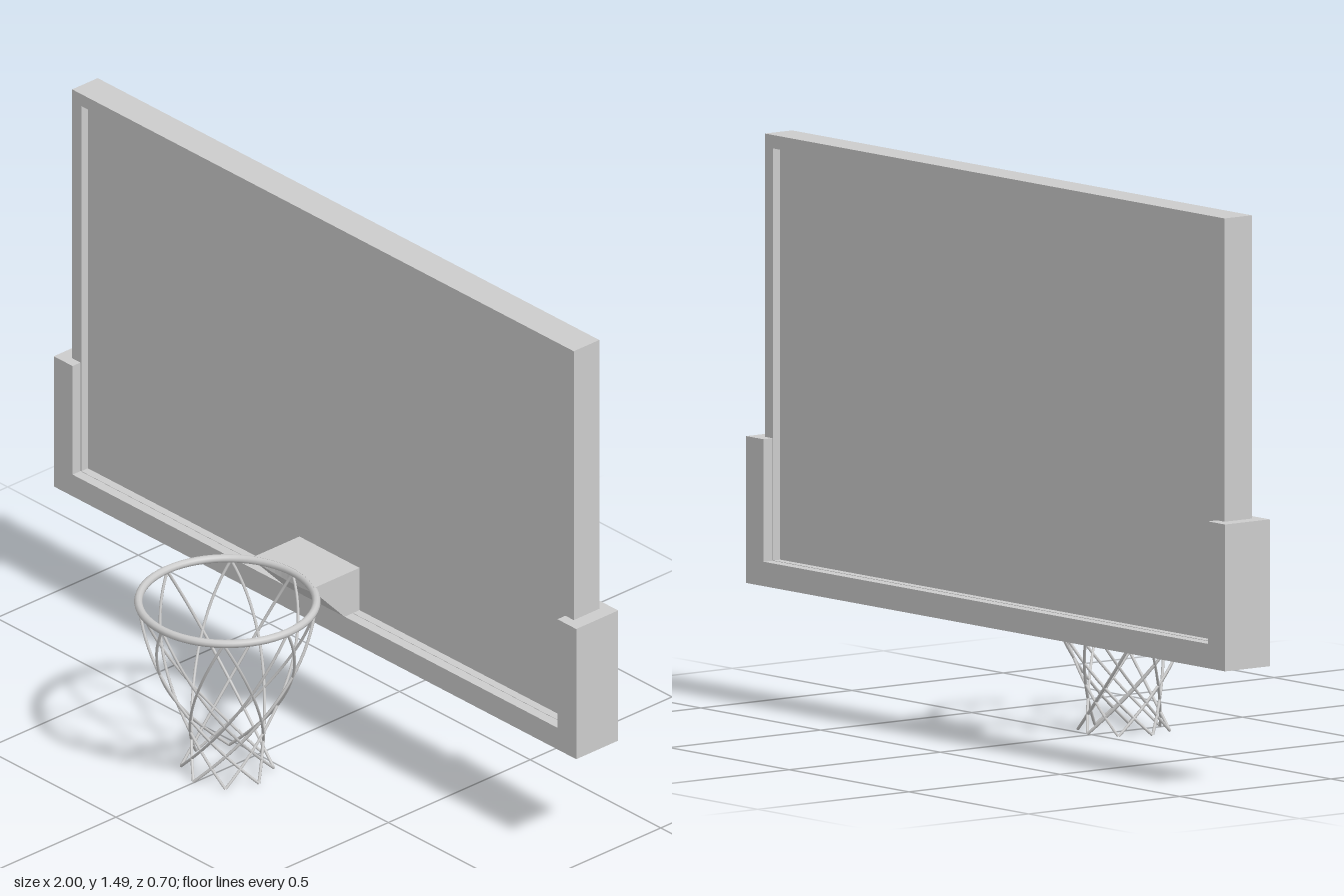
import * as THREE from 'three';

const RIM = { y: 0.494, z: 0.107, radius: 0.231, tube: 0.011 };

export function createModel() {
  const model = new THREE.Group();
  const material = new THREE.MeshStandardMaterial({ color: 0xcccccc });

  const add = (name, geometry, parent = model) => {
    const mesh = new THREE.Mesh(geometry, material);
    mesh.name = name;
    parent.add(mesh);
    return mesh;
  };
  const outline = (points) => new THREE.Shape(points.map(([x, y]) => new THREE.Vector2(x, y)));
  // Extrude an x-y outline between two depths
  const slab = (shape, zBack, zFront) =>
    new THREE.ExtrudeGeometry(shape, { depth: zFront - zBack, bevelEnabled: false }).translate(0, 0, zBack);
  const rect = (x, y0, y1) => [[-x, y0], [x, y0], [x, y1], [-x, y1]];

  // Board: rectangular frame around a recessed panel
  const frame = outline(rect(0.96, 0.34, 1.495));
  frame.holes.push(outline(rect(0.925, 0.38, 1.46)));
  add('boardFrame', slab(frame, -0.32, -0.23));
  add('boardPanel', slab(outline(rect(0.94, 0.36, 1.475)), -0.297, -0.253));

  // U-shaped padding along the bottom edge and lower corners
  add('edgePadding', slab(outline([
    [-1, 0.315], [1, 0.315], [1, 0.7], [0.928, 0.7],
    [0.928, 0.379], [-0.928, 0.379], [-0.928, 0.7], [-1, 0.7],
  ]), -0.35, -0.202));

  // Bracket: plan outline hollowed to follow the rim, with a sloping underside
  const half = 0.115, a = Math.asin(half / RIM.radius);
  const plan = [[-half, 0.26], [half, 0.26], [half, 0.2]];
  for (let i = 0; i <= 12; i++) {
    const t = a - (2 * a * i) / 12;
    plan.push([RIM.radius * Math.sin(t), RIM.radius * Math.cos(t) - RIM.z]);
  }
  plan.push([-half, 0.2]);
  const bracket = new THREE.ExtrudeGeometry(outline(plan), { depth: 1, bevelEnabled: false });
  bracket.rotateX(-Math.PI / 2);
  const pos = bracket.attributes.position;
  for (let i = 0; i < pos.count; i++) {
    const slope = 0.38 + Math.max(0, pos.getZ(i) + 0.2) * 1.05;
    pos.setY(i, pos.getY(i) > 0.5 ? 0.505 : slope);
  }
  bracket.computeVertexNormals();
  add('rimBracket', bracket);

  // Rim
  const rim = add('rim', new THREE.TorusGeometry(RIM.radius, RIM.tube, 10, 64).rotateX(Math.PI / 2));
  rim.position.set(0, RIM.y, RIM.z);

  // Net: eight strands each way, each swinging 135 degrees round as it drops
  const net = new THREE.Group();
  net.name = 'net';
  net.position.z = RIM.z;
  model.add(net);
  for (const side of [1, -1]) {
    const path = new THREE.QuadraticBezierCurve3(
      new THREE.Vector3(0.23, 0.49, 0),
      new THREE.Vector3(0.205, 0.265, 0.125 * side),
      new THREE.Vector3(-0.085, 0.004, 0.085 * side),
    );
    const strand = new THREE.TubeGeometry(path, 24, 0.004, 6);
    for (let i = 0; i < 8; i++) {
      add('netStrand', strand, net).rotation.y = (i * Math.PI) / 4;
    }
  }
  return model;
}
